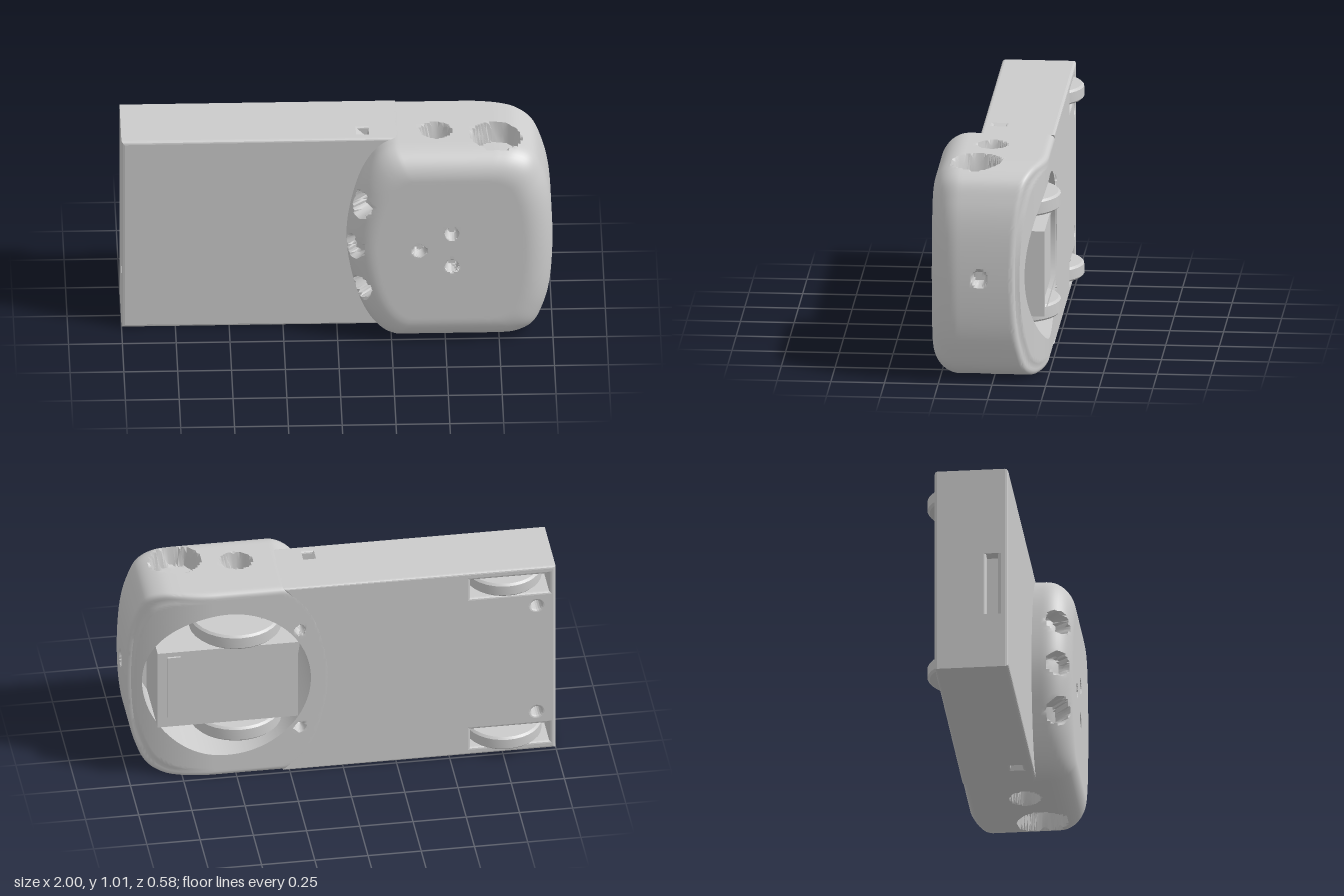
import * as THREE from 'three';
import { toCreasedNormals } from 'three/addons/utils/BufferGeometryUtils.js';

const H = 1.01, MID = H / 2, BACK = -0.235;
const mat = new THREE.MeshStandardMaterial({ color: 0xcccccc });
const V = (x, y, z = 0) => new THREE.Vector3(x, y, z);

function add(parent, name, geo, x = 0, y = 0, z = 0) {
  const m = new THREE.Mesh(geo, mat);
  m.name = name;
  m.position.set(x, y, z);
  parent.add(m);
  return m;
}

function polygon(pts) {
  return new THREE.Shape(pts.map(p => new THREE.Vector2(p[0], p[1])));
}

function rectPath(x0, x1, y0, y1) {
  return polygon([[x0, y0], [x0, y1], [x1, y1], [x1, y0]]);
}

function disc(x, y, r) {
  return new THREE.Path().absarc(x, y, r, 0, Math.PI * 2, true);
}

// Extrusion between two z values, with optional bevel that keeps the outline size
function slab(shape, z0, z1, bevel = 0) {
  const geo = new THREE.ExtrudeGeometry(shape, {
    depth: z1 - z0 - 2 * bevel, bevelEnabled: bevel > 0, bevelSize: bevel,
    bevelThickness: bevel, bevelOffset: -bevel, bevelSegments: 3, curveSegments: 8
  });
  return geo.translate(0, 0, z0 + bevel);
}

// Right end of the box body, hidden inside the cab and clear of its round recess
const bodyEnd = [[0.28, 0], [0.28, H], [0.2, 0.9], [0.1, 0.62], [0.1, 0.39], [0.2, 0.11]];
function bodyShape(notched) {
  const arc = [bodyEnd[0], ...bodyEnd.slice(2).reverse(), bodyEnd[1]];
  if (!notched) return polygon([[-1, 0], ...arc, [-1, H]]);
  return polygon([
    [-1, 0], [0.09, 0], [0.14, 0.05], [0.15, 0], ...arc,
    [0.15, H], [0.14, H - 0.05], [0.09, H], [-1, H],
    [-1, 0.58], [-0.94, 0.58], [-0.94, 0.27], [-1, 0.27]
  ]);
}

function buildBody(group) {
  const base = bodyShape(false);
  for (const y of [0.09, H - 0.09]) base.holes.push(rectPath(-0.97, -0.6, y - 0.05, y + 0.05));
  for (const y of [0.21, H - 0.21]) base.holes.push(disc(-0.91, y, 0.025));
  add(group, 'bodyBase', slab(base, BACK, 0.005, 0.012));
  add(group, 'bodyMiddle', slab(bodyShape(true), -0.015, 0.075));
  add(group, 'bodyLid', slab(bodyShape(false), 0.06, 0.11, 0.015));
}

// Hollows pressed into the cab: centre, radius, direction, depth
const dents = [];
function dent(x, y, z, r, dir, depth) {
  dents.push({ p: V(x, y, z), r, d: V(...dir).normalize(), depth });
}
for (const [x, y] of [[0.38, 0.505], [0.53, 0.595], [0.53, 0.42]]) dent(x, y, 0.29, 0.033, [0, 0, -1], 0.05);
for (const s of [-1, 1]) {
  const y = MID + s * MID;
  dent(0.46, y, 0.04, 0.07, [0, -s, 0], 0.09);
  dent(0.74, y, 0.09, 0.115, [0, -s, 0], 0.1);
  dent(0.14, MID + s * 0.225, 0.2, 0.06, [0.7, 0, -0.7], 0.08);
  dent(0.2, MID + s * 0.27, BACK, 0.026, [0, 0, 1], 0.06);
}
dent(0.11, MID, 0.2, 0.06, [0.7, 0, -0.7], 0.05);
dent(1, 0.51, 0.06, 0.04, [-1, 0, 0], 0.05);

function pressDents(p) {
  for (const { p: c, r, d, depth } of dents) {
    const rel = p.clone().sub(c), along = rel.dot(d);
    const off = rel.addScaledVector(d, -along).length();
    if (off < r && Math.abs(along) < 0.16) {
      p.addScaledVector(d, depth * Math.min(1, (r - off) / 0.012));
      return;
    }
  }
}

// Underside rises towards the nose
const underZ = x => BACK + 0.13 * Math.max(0, (x - 0.6) / 0.4) ** 2;

// Cab: one continuous skin from the front face, over the sides, into the round recess
function buildCab(group) {
  const half = [[0.985, 0.75], [0.955, 0.87], [0.91, 0.96], [0.84, 1.0], [0.75, H], [0.5, H], [0.27, H],
    [0.2, 0.975], [0.13, 0.88], [0.075, 0.72]];
  const top = half.map(p => V(...p));
  const bottom = half.map(p => V(p[0], H - p[1])).reverse();
  const outline = new THREE.CatmullRomCurve3([V(1, MID), ...top, V(0.045, MID), ...bottom], true);
  const N = 260, ring = outline.getSpacedPoints(N).slice(0, N);
  ring.forEach(p => { p.y = Math.min(H, Math.max(0, p.y)); });

  const cx = 0.525, hx = 0.475, hole = V(0.54, MID), R = 0.39, floorZ = 0.1, F = 0.13;
  const inset = (p, d, t = 1) => V(cx + (p.x - cx) * (1 - d / hx) * t, MID + (p.y - MID) * (1 - d / MID) * t);
  const onHole = p => p.clone().sub(hole).setLength(R).add(hole);
  const rows = [];
  const addRows = (count, rule) => {
    for (let i = 1; i <= count; i++) rows.push(ring.map(p => rule(p, i / count)));
  };
  const backEdge = p => underZ(p.x) + 0.025;
  rows.push(ring.map(() => V(cx, MID, 0.29)));
  addRows(42, (p, t) => inset(p, F, t).setZ(0.29));
  addRows(12, (p, t) => {
    const a = t * Math.PI / 2;
    return inset(p, F * (1 - Math.sin(a))).setZ(0.29 - F * (1 - Math.cos(a)));
  });
  addRows(36, (p, t) => p.clone().setZ(THREE.MathUtils.lerp(0.29 - F, backEdge(p), t)));
  addRows(4, (p, t) => {
    const a = t * Math.PI / 2;
    return inset(p, 0.025 * (1 - Math.cos(a))).setZ(backEdge(p) - 0.025 * Math.sin(a));
  });
  addRows(20, (p, t) => {
    const q = inset(p, 0.025).lerp(onHole(p), t);
    return q.setZ(t < 0.2 ? THREE.MathUtils.lerp(underZ(p.x), underZ(q.x), t / 0.2) : underZ(q.x));
  });
  rows.forEach(row => row.forEach(pressDents));
  addRows(2, (p, t) => {
    const q = onHole(p);
    return q.setZ(THREE.MathUtils.lerp(underZ(q.x), floorZ, t));
  });
  addRows(1, () => hole.clone().setZ(floorZ));

  const index = [];
  for (let i = 0; i < rows.length - 1; i++) {
    for (let j = 0; j < N; j++) {
      const k = (j + 1) % N, a = i * N + j, b = a + N, c = (i + 1) * N + k, d = i * N + k;
      index.push(a, b, c, a, c, d);
    }
  }
  const geo = new THREE.BufferGeometry().setFromPoints(rows.flat());
  geo.setIndex(index);
  add(group, 'cab', toCreasedNormals(geo, 0.6));
}

// Wheel turning about y, with a stepped hub
function wheel(group, name, r, w, x, y, z) {
  const h = w / 2;
  const profile = [[0, -h * 0.6], [r * 0.6, -h * 0.6], [r * 0.65, -h], [r - 0.01, -h], [r, -h + 0.01],
    [r, h - 0.01], [r - 0.01, h], [r * 0.65, h], [r * 0.6, h * 0.6], [0, h * 0.6]];
  const geo = new THREE.LatheGeometry(profile.map(p => new THREE.Vector2(...p)), 32);
  add(group, name, toCreasedNormals(geo, 0.5), x, y, z);
}

// Steering block in the recess: core, raised rim and a row of contacts
function buildBlock(group) {
  const block = new THREE.Group();
  block.name = 'steeringBlock';
  group.add(block);
  const [x0, x1, y0, y1] = [0.21, 0.87, 0.3, 0.71];
  add(block, 'blockCore', slab(rectPath(x0, x1, y0, y1), -0.21, 0.11));
  const rim = rectPath(x0, x1, y0, y1);
  rim.holes.push(rectPath(x0 + 0.02, x1 - 0.03, y0 + 0.02, y1 - 0.02));
  add(block, 'blockRim', slab(rim, BACK, -0.205));
  const strip = rectPath(0.76, 0.82, 0.34, 0.67);
  for (let i = 0; i < 9; i++) strip.holes.push(rectPath(0.775, 0.805, 0.352 + i * 0.035, 0.377 + i * 0.035));
  add(block, 'contactStrip', slab(strip, -0.22, -0.205));
}

export function createModel() {
  const group = new THREE.Group();
  group.name = 'toyTruck';
  buildBody(group);
  buildCab(group);
  buildBlock(group);
  for (const s of [-1, 1]) {
    const side = s > 0 ? 'Upper' : 'Lower';
    wheel(group, 'frontWheel' + side, 0.215, 0.075, 0.48, MID + s * 0.255, -0.065);
    wheel(group, 'rearWheel' + side, 0.18, 0.068, -0.77, MID + s * 0.427, -0.11);
  }
  return group;
}
